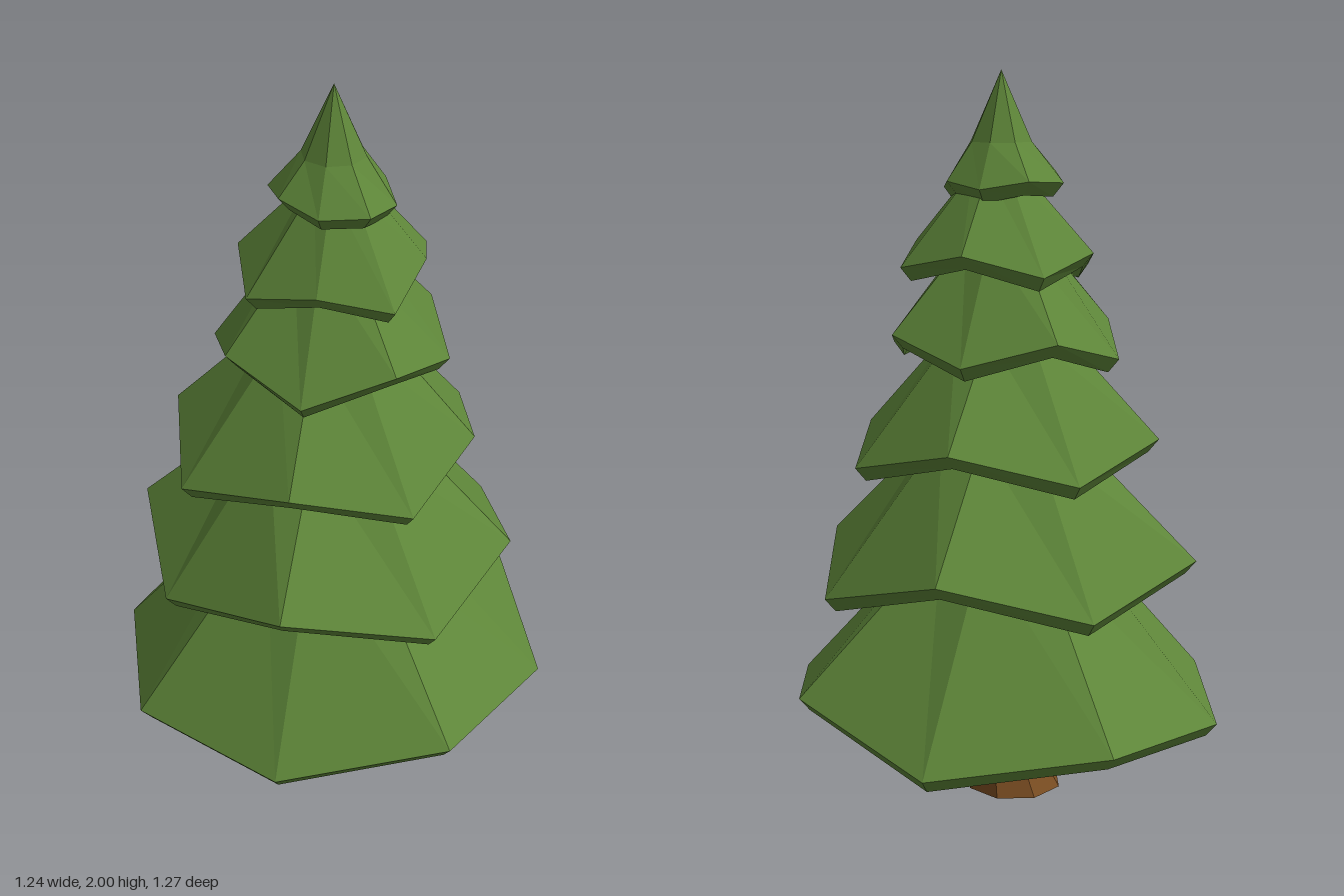
import * as THREE from 'three';

const SIDES = 8;

// Flat-shaded skin over a list of rings, ordered so that faces point outwards
function skin(rings) {
  const pos = [];
  for (let i = 0; i < rings.length - 1; i++) {
    for (let k = 0; k < SIDES; k++) {
      const n = (k + 1) % SIDES;
      const a = rings[i][k], b = rings[i][n], c = rings[i + 1][n], d = rings[i + 1][k];
      for (const [p, q, r] of [[a, c, b], [a, d, c]]) {
        const area = new THREE.Triangle(p, q, r).getArea();
        if (area > 1e-7) for (const v of [p, q, r]) pos.push(v.x, v.y, v.z);
      }
    }
  }
  const geo = new THREE.BufferGeometry();
  geo.setAttribute('position', new THREE.Float32BufferAttribute(pos, 3));
  geo.computeVertexNormals();
  return geo;
}

// Eight-sided ring; radius and height may be one value or one per corner
function ring(radius, height, cx = 0, cz = 0) {
  return Array.from({ length: SIDES }, (_, k) => {
    const a = (k / SIDES) * Math.PI * 2;
    const r = Array.isArray(radius) ? radius[k] : radius;
    const y = Array.isArray(height) ? height[k] : height;
    return new THREE.Vector3(cx + r * Math.cos(a), y, cz + r * Math.sin(a));
  });
}

// Corner order: +x, front +x, front, front -x, -x, back -x, back, back +x
const TIERS = [
  { name: 'bottomTier', c: [0, 0], r: [0.62, 0.63, 0.635, 0.605, 0.62, 0.61, 0.635, 0.63],
    y: [0.345, 0.265, 0.31, 0.24, 0.26, 0.25, 0.305, 0.25], upper: [[0.2, 0.74]] },
  { name: 'secondTier', c: [0.005, 0], r: [0.535, 0.52, 0.54, 0.545, 0.525, 0.545, 0.53, 0.52],
    y: [0.615, 0.705, 0.63, 0.73, 0.62, 0.71, 0.63, 0.73], upper: [[0.19, 1.04]] },
  { name: 'thirdTier', c: [0.005, -0.01], r: [0.445, 0.41, 0.43, 0.42, 0.455, 0.43, 0.435, 0.44],
    y: [0.97, 1.03, 0.95, 1.03, 0.955, 1.04, 0.97, 1.055], upper: [[0.15, 1.32]] },
  { name: 'fourthTier', c: [0.015, -0.01], r: [0.325, 0.325, 0.32, 0.325, 0.32, 0.325, 0.325, 0.325],
    y: [1.32, 1.26, 1.315, 1.245, 1.32, 1.25, 1.32, 1.26], upper: [[0.11, 1.56]] },
  { name: 'fifthTier', c: [0.03, 0], r: [0.28, 0.235, 0.275, 0.23, 0.275, 0.27, 0.285, 0.265],
    y: [1.495, 1.545, 1.48, 1.515, 1.475, 1.53, 1.485, 1.54], upper: [[0.07, 1.74]] },
  { name: 'topTier', c: [0.018, 0], r: [0.158, 0.165, 0.175, 0.165, 0.163, 0.175, 0.17, 0.165],
    y: [1.715, 1.69, 1.705, 1.705, 1.73, 1.71, 1.72, 1.7], upper: [[0.086, 1.815], [0, 2]] },
];

export function createModel() {
  const tree = new THREE.Group();
  tree.name = 'pineTree';
  const needles = new THREE.MeshStandardMaterial({ color: 0x5e8639 });
  needles.name = 'needle green';
  const bark = new THREE.MeshStandardMaterial({ color: 0x7a4d22 });
  bark.name = 'bark brown';

  // Hollow branch skirts: inner wall, sloping lip, rim, outer wall
  for (const { name, c, r, y, upper } of TIERS) {
    const lip = ring(r.map(v => v - 0.03), y.map(v => v - 0.037), ...c);
    const outer = upper.map(([ur, uy]) => ring(ur, uy, ...c));
    const inner = ring(upper[0][0], upper[0][1], ...c);
    const rings = [inner, lip, ring(r, y, ...c), ...outer];
    // Close the underside of the spire
    if (upper.length > 1) rings.unshift(ring(0, 1.9, ...c));
    const tier = new THREE.Mesh(skin(rings), needles);
    tier.name = name;
    tree.add(tier);
  }

  // Flared trunk running up through the skirts
  const trunk = new THREE.Mesh(skin([
    ring(0, 0, -0.01, -0.02),
    ring(0.137, 0, -0.01, -0.02),
    ring(0.104, 0.09, 0.005, -0.01),
    ring(0.083, 0.28, 0.006, -0.005),
    ring(0.045, 0.85, 0.01, 0),
    ring(0.04, 1.4, 0.01, 0),
    ring(0, 1.45, 0.01, 0),
  ]), bark);
  trunk.name = 'trunk';
  tree.add(trunk);

  return tree;
}
